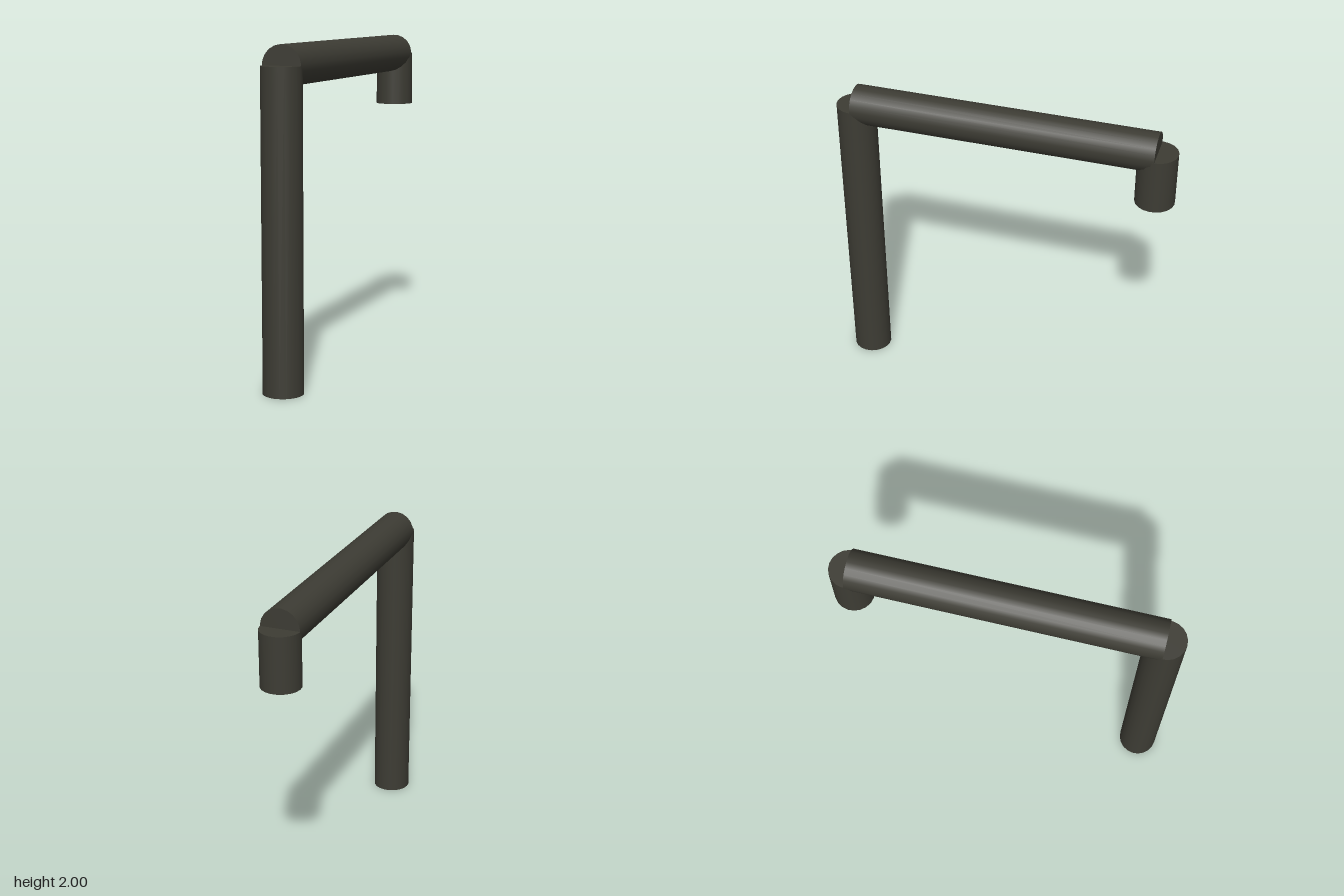
import * as THREE from 'three';

const RADIUS = 0.12;
const SIDES = 20;

export function createModel() {
  const group = new THREE.Group();
  const darkMetal = new THREE.MeshStandardMaterial({ color: 0x3d3c34 });
  darkMetal.name = 'darkMetal';

  // Straight capped pipe between two points
  function pipe(name, from, to) {
    const axis = to.clone().sub(from);
    const geometry = new THREE.CylinderGeometry(RADIUS, RADIUS, axis.length(), SIDES);
    const mesh = new THREE.Mesh(geometry, darkMetal);
    mesh.name = name;
    mesh.position.copy(from).add(to).multiplyScalar(0.5);
    mesh.quaternion.setFromUnitVectors(new THREE.Vector3(0, 1, 0), axis.normalize());
    group.add(mesh);
  }

  const postTop = new THREE.Vector3(-0.708, 1.88, 0.598);
  const dropTop = new THREE.Vector3(0.708, 1.88, -0.598);

  // Tall post, diagonal arm and short hanging end
  pipe('post', new THREE.Vector3(postTop.x, 0, postTop.z), postTop);
  pipe('arm', postTop, dropTop);
  pipe('hangingEnd', new THREE.Vector3(dropTop.x, 1.54, dropTop.z), dropTop);

  return group;
}
